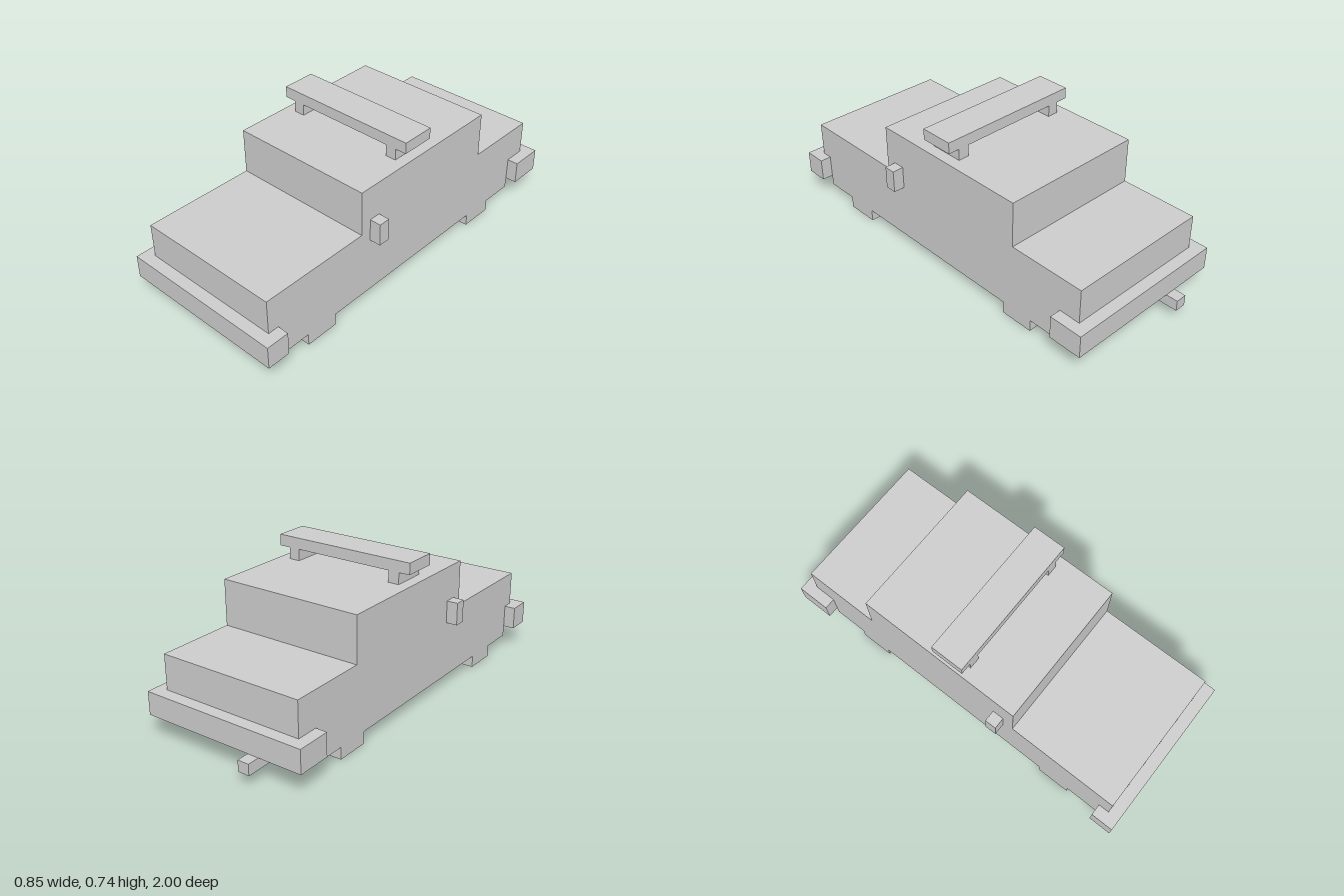
import * as THREE from 'three';

const material = new THREE.MeshStandardMaterial({ color: 0xcccccc, flatShading: true });

export function createModel() {
  const model = new THREE.Group();

  const add = (name, geometry) => {
    const mesh = new THREE.Mesh(geometry, material);
    mesh.name = name;
    model.add(mesh);
    return mesh;
  };

  // Box given by its limits on each axis
  const block = (name, [x0, x1], [y0, y1], [z0, z1]) =>
    add(name, new THREE.BoxGeometry(x1 - x0, y1 - y0, z1 - z0))
      .position.set((x0 + x1) / 2, (y0 + y1) / 2, (z0 + z1) / 2);

  // Same box on both sides of the vehicle
  const pair = (name, [x0, x1], y, z) => {
    block(name + 'Left', [x0, x1], y, z);
    block(name + 'Right', [-x1, -x0], y, z);
  };

  const shapeOf = (points) => new THREE.Shape(points.map(([a, b]) => new THREE.Vector2(a, b)));

  // Body shell: stepped side profile (z, y) with hood, cabin and trunk
  const profile = shapeOf([
    [-0.88, 0.115], [0.885, 0.115], [0.885, 0.2], [0.94, 0.2], [0.94, 0.403], [0.37, 0.403],
    [0.37, 0.63], [-0.485, 0.63], [-0.485, 0.403], [-0.88, 0.403],
  ]);
  const shell = new THREE.ExtrudeGeometry(profile, { depth: 0.74, bevelEnabled: false });
  shell.translate(0, 0, -0.37).rotateY(-Math.PI / 2);
  shell.scale(1, 1, 1);
  add('body', shell);

  // Floor pan: plan outline (x, -z) with a notch at the rear
  const plan = shapeOf([
    [-0.37, -0.885], [0.37, -0.885], [0.37, 0.77], [0.315, 0.77],
    [0.315, 0.655], [-0.315, 0.655], [-0.315, 0.77], [-0.37, 0.77],
  ]);
  const floor = new THREE.ExtrudeGeometry(plan, { depth: 0.055, bevelEnabled: false });
  floor.rotateX(-Math.PI / 2).translate(0, 0.06, 0);
  add('floorPan', floor);

  // Bumpers
  block('frontBumper', [-0.427, 0.427], [0.115, 0.23], [0.885, 1]);
  block('rearBumper', [-0.427, 0.427], [0.115, 0.23], [-0.94, -0.77]);

  // Exhaust pipe running out of the floor notch
  block('exhaustPipe', [-0.205, -0.147], [0.06, 0.115], [-1, -0.655]);

  // Wheels
  pair('frontWheel', [0.313, 0.37], [0, 0.06], [0.545, 0.715]);
  pair('rearWheel', [0.313, 0.37], [0, 0.06], [-0.6, -0.43]);

  // Side mirrors
  pair('mirror', [0.37, 0.427], [0.345, 0.458], [0.257, 0.315]);

  // Roof bar on two posts
  pair('roofBarPost', [0.257, 0.313], [0.63, 0.687], [-0.085, 0.085]);
  block('roofBar', [-0.37, 0.37], [0.687, 0.743], [-0.085, 0.085]);

  return model;
}
